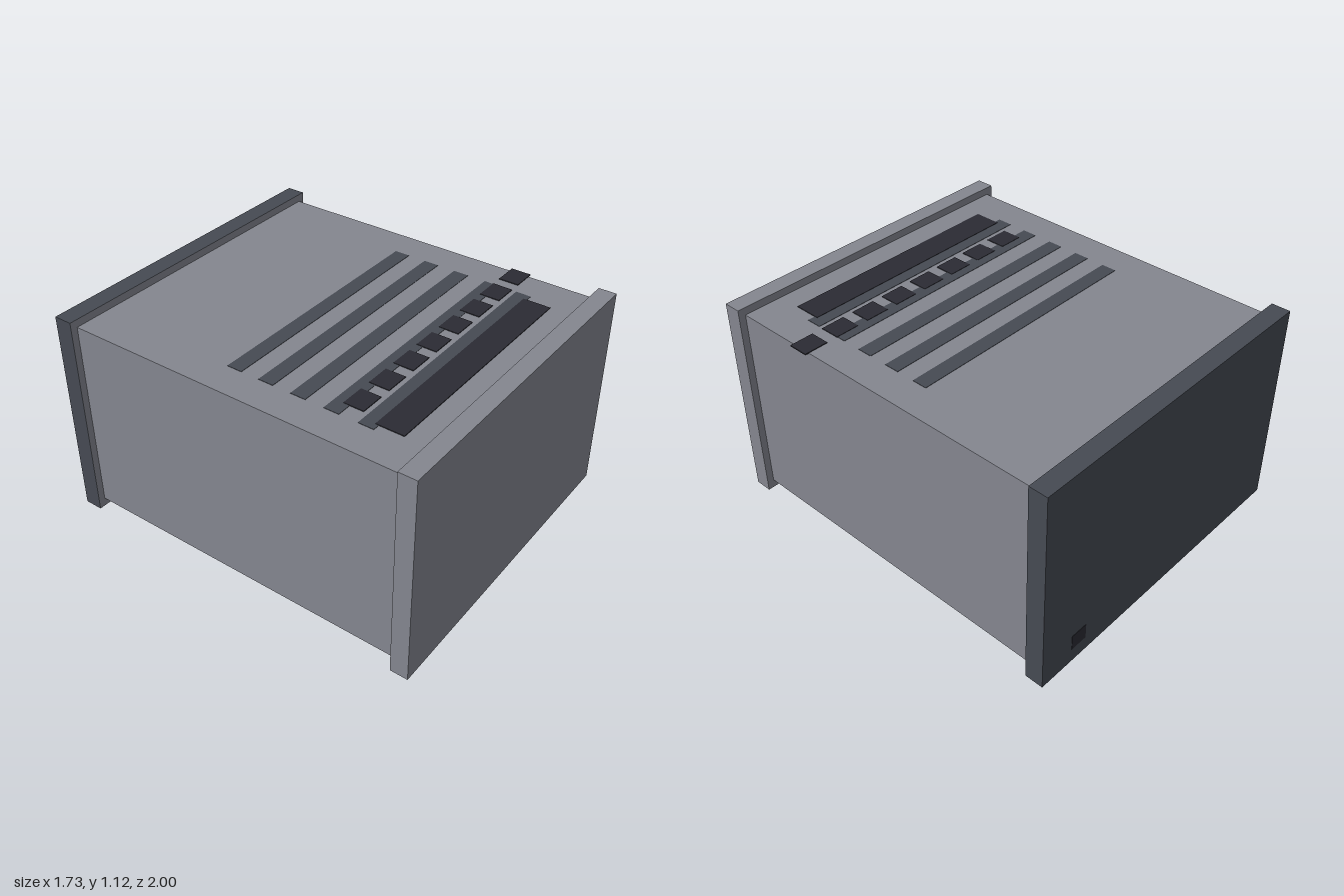
import * as THREE from 'three';

export function createModel() {
  const group = new THREE.Group();
  group.name = 'equipmentCase';

  const mat = (name, color) => {
    const m = new THREE.MeshStandardMaterial({ color });
    m.name = name;
    return m;
  };
  const grey = mat('caseGrey', 0x84868f);
  const slate = mat('slateGrey', 0x464a53);
  const black = mat('charcoal', 0x2b2b33);

  // Box given by its lower and upper corners
  const box = (name, material, [x0, y0, z0], [x1, y1, z1]) => {
    const mesh = new THREE.Mesh(new THREE.BoxGeometry(x1 - x0, y1 - y0, z1 - z0), material);
    mesh.position.set((x0 + x1) / 2, (y0 + y1) / 2, (z0 + z1) / 2);
    mesh.name = name;
    group.add(mesh);
    return mesh;
  };

  // Main housing and the two end panels
  const top = 1.08;
  box('housing', grey, [-0.83, 0.045, -0.9], [0.83, top, 0.907]);
  box('frontPanel', grey, [-0.867, 0, 0.907], [0.867, 1.12, 1]);
  // The back panel's inner face (+z) keeps the case colour
  box('backPanel', [slate, slate, slate, slate, grey, slate], [-0.867, 0, -0.998], [0.867, 1.12, -0.9]);

  // Vent slots across the top
  for (let i = 0; i < 5; i++) {
    const z = -0.09 + i * 0.176;
    box('ventSlot', slate, [-0.66, top - 0.002, z - 0.04], [0.66, top + 0.002, z + 0.04]);
  }

  // Row of small tiles, the last one overhanging the left edge
  for (let i = 0; i < 8; i++) {
    const x = -0.52 + i * 0.1865;
    box('topTile', black, [x - 0.064, top - 0.002, 0.445], [x + 0.064, top + 0.004, 0.55]);
  }

  // Long dark strip near the front
  box('topStrip', black, [-0.625, top - 0.002, 0.637], [0.62, top + 0.004, 0.78]);

  // Small socket on the back
  box('backSocket', black, [0.575, 0.08, -1], [0.67, 0.165, -0.996]);

  return group;
}
